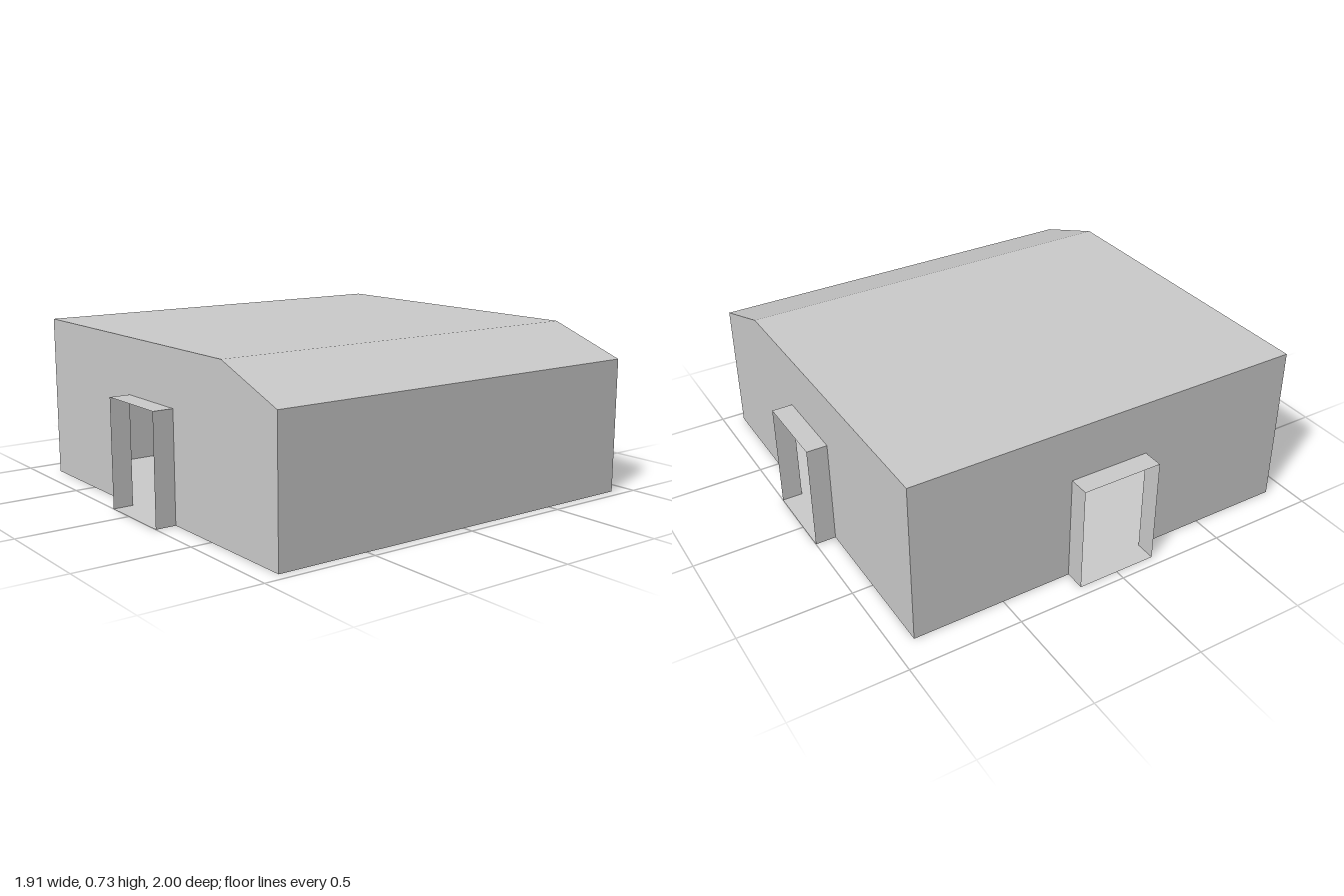
import * as THREE from 'three';

const material = new THREE.MeshStandardMaterial({ color: 0xcccccc, flatShading: true, side: THREE.DoubleSide });

// Main dimensions
const LEFT = 0.953, RIGHT = -0.863, DEPTH = 0.908;
const EAVE = 0.6, ROOF = 0.73, BEND = 0.59;
const DOOR_W = 0.364, DOOR_H = 0.484, PORCH = 0.092;
const MID = (LEFT + RIGHT) / 2;

// Flat sheet with a closed outline, drawn in its own xy plane and facing +z
function sheet(name, outline) {
  const shape = new THREE.Shape(outline.map(([x, y]) => new THREE.Vector2(x, y)));
  const mesh = new THREE.Mesh(new THREE.ShapeGeometry(shape), material);
  mesh.name = name;
  return mesh;
}

// Rectangular sheet spanned by four corners, counter-clockwise from outside
function quad(name, corners) {
  const geometry = new THREE.BufferGeometry();
  geometry.setAttribute('position', new THREE.Float32BufferAttribute(corners.flat(), 3));
  geometry.setIndex([0, 1, 2, 0, 2, 3]);
  geometry.computeVertexNormals();
  const mesh = new THREE.Mesh(geometry, material);
  mesh.name = name;
  return mesh;
}

// Doorway cut into the bottom edge of a wall, centred on x
function doorNotch(x) {
  const h = DOOR_W / 2;
  return [[x - h, 0], [x - h, DOOR_H], [x + h, DOOR_H], [x + h, 0]];
}

// Open porch sleeve running from the wall towards +z
function porch(name) {
  const group = new THREE.Group();
  group.name = name;
  const w = DOOR_W / 2, h = DOOR_H, d = PORCH;
  group.add(
    quad('porchFloor', [[-w, 0, 0], [w, 0, 0], [w, 0, d], [-w, 0, d]]),
    quad('porchTop', [[-w, h, d], [w, h, d], [w, h, 0], [-w, h, 0]]),
    quad('porchLeftSide', [[w, 0, d], [w, 0, 0], [w, h, 0], [w, h, d]]),
    quad('porchRightSide', [[-w, 0, 0], [-w, 0, d], [-w, h, d], [-w, h, 0]])
  );
  return group;
}

export function createModel() {
  const model = new THREE.Group();
  model.name = 'building';

  // Front and back walls with a doorway and the sloping roof corner
  const gable = [[RIGHT, 0], ...doorNotch(MID), [LEFT, 0], [LEFT, EAVE], [BEND, ROOF], [RIGHT, ROOF]];
  const frontWall = sheet('frontWall', gable);
  frontWall.position.z = DEPTH;
  const backWall = sheet('backWall', gable.map(([x, y]) => [-x, y]).reverse());
  backWall.rotation.y = Math.PI;
  backWall.position.z = -DEPTH;

  // Right wall with a doorway, left wall plain
  const rightWall = sheet('rightWall', [[-DEPTH, 0], ...doorNotch(0), [DEPTH, 0], [DEPTH, ROOF], [-DEPTH, ROOF]]);
  rightWall.rotation.y = -Math.PI / 2;
  rightWall.position.x = RIGHT;
  const leftWall = quad('leftWall', [[LEFT, 0, DEPTH], [LEFT, 0, -DEPTH], [LEFT, EAVE, -DEPTH], [LEFT, EAVE, DEPTH]]);

  // Floor, flat roof and sloping roof strip
  const floor = quad('floor', [[RIGHT, 0, -DEPTH], [LEFT, 0, -DEPTH], [LEFT, 0, DEPTH], [RIGHT, 0, DEPTH]]);
  const flatRoof = quad('flatRoof', [[RIGHT, ROOF, DEPTH], [BEND, ROOF, DEPTH], [BEND, ROOF, -DEPTH], [RIGHT, ROOF, -DEPTH]]);
  const slopedRoof = quad('slopedRoof', [[BEND, ROOF, DEPTH], [LEFT, EAVE, DEPTH], [LEFT, EAVE, -DEPTH], [BEND, ROOF, -DEPTH]]);
  model.add(frontWall, backWall, rightWall, leftWall, floor, flatRoof, slopedRoof);

  // Porches on the three walls with doorways
  for (const [name, x, z, turn] of [
    ['frontPorch', MID, DEPTH, 0],
    ['backPorch', MID, -DEPTH, Math.PI],
    ['rightPorch', RIGHT, 0, -Math.PI / 2],
  ]) {
    const sleeve = porch(name);
    sleeve.position.set(x, 0, z);
    sleeve.rotation.y = turn;
    model.add(sleeve);
  }
  return model;
}
